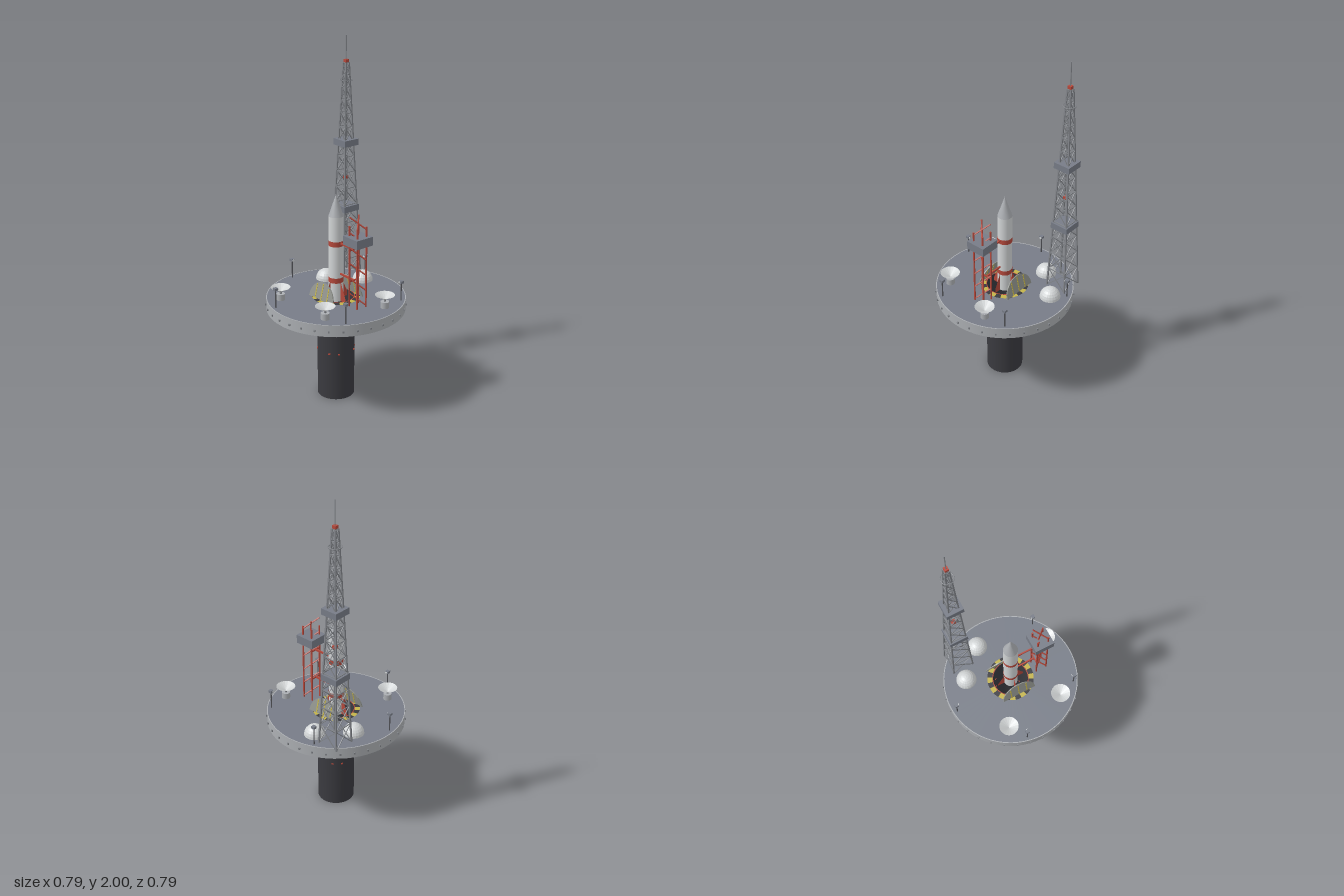
import * as THREE from 'three';
import { mergeGeometries } from 'three/addons/utils/BufferGeometryUtils.js';

const mat = (name, color, double) => {
  const m = new THREE.MeshStandardMaterial({ color });
  m.name = name;
  if (double) m.side = THREE.DoubleSide;
  return m;
};
const V = (x, y, z) => new THREE.Vector3(x, y, z);

export function createModel() {
  const M = {
    slate: mat('slate deck', 0x777c87),
    rim: mat('light steel', 0xacafb3, true),
    dark: mat('charcoal', 0x3a3a3f, true),
    under: mat('underside grey', 0x55565b),
    door: mat('door grey', 0x92958f),
    red: mat('signal red', 0xb5483b, true),
    white: mat('rocket white', 0xd2d5d6, true),
    yellow: mat('hazard yellow', 0xc3b34a),
    lattice: mat('tower grey', 0x82858a),
  };
  const model = new THREE.Group();
  const DECK = 0.6;

  const add = (name, geo, m, x = 0, y = 0, z = 0, parent = model) => {
    const mesh = new THREE.Mesh(geo, m);
    mesh.name = name;
    mesh.position.set(x, y, z);
    parent.add(mesh);
    return mesh;
  };
  const box = (w, h, d, x = 0, y = 0, z = 0) => new THREE.BoxGeometry(w, h, d).translate(x, y, z);
  const faceted = (geo) => {
    const g = geo.toNonIndexed();
    g.computeVertexNormals();
    return g;
  };
  // square bar between two points
  const bar = (a, b, t) => {
    const d = b.clone().sub(a), g = new THREE.BoxGeometry(t, d.length(), t);
    g.applyQuaternion(new THREE.Quaternion().setFromUnitVectors(V(0, 1, 0), d.normalize()));
    return g.translate((a.x + b.x) / 2, (a.y + b.y) / 2, (a.z + b.z) / 2);
  };
  const ring = (inner, outer, y, up, start = 0, len = Math.PI * 2, seg = 64) =>
    new THREE.RingGeometry(inner, outer, seg, 1, start, len).rotateX(up ? -Math.PI / 2 : Math.PI / 2).translate(0, y, 0);

  // Silo tube, open at both ends, with warning lights in pairs
  add('siloTube', new THREE.CylinderGeometry(0.105, 0.105, DECK, 48, 1, true), M.dark, 0, DECK / 2, 0);
  const siloLights = [];
  for (const y of [0.285, 0.43])
    for (let q = 0; q < 4; q++)
      for (const off of [-0.26, 0.26])
        siloLights.push(box(0.012, 0.007, 0.008, 0, y, 0.105).rotateY(Math.PI / 4 + q * Math.PI / 2 + off));
  add('siloLights', mergeGeometries(siloLights), M.red);

  // Round deck with hanging rim skirt
  add('deckTop', ring(0.105, 0.388, DECK, true), M.slate);
  add('deckUnderside', ring(0.105, 0.388, DECK - 0.01, false), M.under);
  add('deckRim', new THREE.CylinderGeometry(0.39, 0.39, 0.067, 64, 1, true), M.rim, 0, 0.5685, 0);
  add('rimLip', ring(0.386, 0.391, 0.602, true), M.rim);
  const studs = [];
  for (let i = 0; i < 32; i++)
    studs.push(box(0.009, 0.011, 0.01, 0, 0.565, 0.392).rotateY(i * Math.PI / 16));
  add('rimStuds', mergeGeometries(studs), M.lattice);

  // Hazard ring and red lip around the opening
  const sectors = [[], []], n = 24;
  for (let i = 0; i < n; i++)
    sectors[i % 2].push(ring(0.105, 0.135, DECK + 0.003, true, i * 2 * Math.PI / n, 2 * Math.PI / n, 3));
  add('hazardYellow', mergeGeometries(sectors[0]), M.yellow);
  add('hazardBlack', mergeGeometries(sectors[1]), M.dark);
  add('siloLip', ring(0.101, 0.106, DECK + 0.004, true), M.red);

  // Opened silo doors, leaning inwards, with yellow stripes
  for (const s of [-1, 1]) {
    const door = new THREE.Group();
    door.name = s > 0 ? 'leftDoor' : 'rightDoor';
    const half = new THREE.Shape();
    half.absarc(0, 0, 0.104, 0, Math.PI, false);
    const slab = new THREE.ExtrudeGeometry(half, { depth: 0.006, bevelEnabled: false, curveSegments: 5 });
    add('doorPanel', slab.translate(0, 0, -0.003).rotateY(Math.PI / 2), M.door, 0, 0, 0, door);
    const stripes = [-0.05, 0, 0.05].map((z) => box(0.009, z ? 0.084 : 0.097, 0.007, 0, z ? 0.042 : 0.0485, z));
    add('doorStripes', mergeGeometries(stripes), M.yellow, 0, 0, 0, door);
    door.position.set(s * 0.107, DECK, 0);
    door.rotation.z = s * 0.23;
    model.add(door);
  }

  // Rocket
  const rocket = new THREE.Group();
  rocket.name = 'rocket';
  model.add(rocket);
  const R = 0.041;
  add('rocketBody', new THREE.CylinderGeometry(R, R, 0.495, 24), M.white, 0, 0.8275, 0, rocket);
  add('noseCone', new THREE.ConeGeometry(R, 0.125, 24, 1, true), M.rim, 0, 1.1375, 0, rocket);
  for (const y of [0.92, 0.705])
    add('redBand', new THREE.CylinderGeometry(R + 0.001, R + 0.001, 0.03, 24, 1, true), M.red, 0, y, 0, rocket);
  const finShape = new THREE.Shape([[0.038, 0.715], [0.046, 0.685], [0.082, 0.605], [0.082, 0.58], [0.038, 0.58]]
    .map(([x, y]) => new THREE.Vector2(x, y)));
  for (let i = 0; i < 4; i++)
    add('fin', new THREE.ShapeGeometry(finShape).rotateY(i * Math.PI / 2), M.red, 0, 0, 0, rocket);

  // Red service gantry in front of the rocket
  const gantry = new THREE.Group();
  gantry.name = 'serviceGantry';
  gantry.position.set(0, 0, 0.185);
  model.add(gantry);
  const h = 0.032, bars = [];
  for (const sx of [-1, 1]) {
    for (const sz of [-1, 1]) bars.push(bar(V(sx * h, DECK, sz * h), V(sx * h, 1.065, sz * h), 0.007));
    for (let i = 0; i < 6; i++) {
      const y = 0.61 + i * 0.088;
      bars.push(bar(V(-sx * h, y, h), V(sx * h, y + 0.065, -h), 0.006));
    }
  }
  for (const y of [0.745, 0.925]) {
    bars.push(box(0.008, 0.01, 0.115, 0, y, -0.0875));
    bars.push(box(2 * h, 0.008, 0.006, 0, y, -h));
  }
  add('gantryFrame', mergeGeometries(bars), M.red, 0, 0, 0, gantry);
  add('gantryPlatform', box(0.114, 0.05, 0.114), M.slate, 0, 0.985, 0, gantry);

  // Tall lattice tower
  const tower = new THREE.Group();
  tower.name = 'latticeTower';
  tower.position.set(0.247, 0, -0.213);
  model.add(tower);
  const TOP = 1.85, half = (y) => 0.062 - 0.051 * (y - DECK) / (TOP - DECK);
  const levels = [DECK];
  for (let i = 0, step = 0.118; i < 14; i++, step *= 0.956) levels.push(levels[i] + step);
  const scale = (TOP - DECK) / (levels[14] - DECK);
  const ys = levels.map((y) => DECK + (y - DECK) * scale);
  const side = [bar(V(half(DECK), DECK, half(DECK)), V(half(TOP), TOP, half(TOP)), 0.008)];
  for (let i = 0; i < 14; i++) {
    const a = half(ys[i]), b = half(ys[i + 1]);
    side.push(bar(V(-a, ys[i], a), V(b, ys[i + 1], b), 0.004));
    side.push(bar(V(a, ys[i], a), V(-b, ys[i + 1], b), 0.004));
    side.push(bar(V(-b, ys[i + 1], b), V(b, ys[i + 1], b), 0.004));
  }
  const face = mergeGeometries(side);
  for (let k = 0; k < 4; k++) add('towerSide', face.clone().rotateY(k * Math.PI / 2), M.lattice, 0, 0, 0, tower);
  add('lowerPlatform', box(0.108, 0.036, 0.108), M.slate, 0, 1.017, 0, tower);
  add('upperPlatform', box(0.1, 0.036, 0.1), M.slate, 0, 1.403, 0, tower);
  add('topRing', new THREE.TorusGeometry(0.034, 0.0025, 6, 24).rotateX(Math.PI / 2), M.lattice, 0, 1.755, 0, tower);
  add('ringSpokes', mergeGeometries([box(0.068, 0.002, 0.002), box(0.002, 0.002, 0.068)]), M.lattice, 0, 1.755, 0, tower);
  add('topBeacon', box(0.022, 0.02, 0.022), M.red, 0, 1.858, 0, tower);
  add('middleBeacon', box(0.022, 0.016, 0.022), M.red, 0, 1.195, 0, tower);
  add('antennaMast', new THREE.CylinderGeometry(0.003, 0.003, 0.135, 6), M.lattice, 0, 1.9325, 0, tower);

  // Faceted storage domes
  const domeGeo = faceted(new THREE.SphereGeometry(0.059, 20, 6, 0, Math.PI * 2, 0, Math.PI / 2));
  for (const [x, z] of [[0.115, -0.23], [0.265, -0.08]]) add('storageDome', domeGeo, M.white, x, DECK, z);

  // Upturned conical dish antennas on drums
  const dishGeo = faceted(new THREE.ConeGeometry(0.055, 0.03, 18, 1, true).rotateX(Math.PI));
  for (const [x, z] of [[-0.269, -0.155], [-0.237, 0.198], [0.106, 0.29]]) {
    add('dishDrum', new THREE.CylinderGeometry(0.024, 0.024, 0.036, 16), M.rim, x, DECK + 0.018, z);
    add('dishStem', new THREE.CylinderGeometry(0.006, 0.006, 0.01, 8), M.lattice, x, DECK + 0.04, z);
    add('dish', dishGeo, M.white, x, DECK + 0.06, z);
  }

  // Floodlight poles around the edge, lamps turned to the centre
  for (let i = 0; i < 5; i++) {
    const light = new THREE.Group();
    light.name = 'floodlight';
    const a = Math.PI + 0.083 + i * 2 * Math.PI / 5, sx = Math.sin(a), cz = Math.cos(a);
    add('pole', new THREE.CylinderGeometry(0.0035, 0.0035, 0.11, 6), M.under, 0, 0.055, 0, light);
    add('lampHousing', box(0.021, 0.014, 0.021), M.slate, 0, 0.11, 0, light);
    add('lampGlass', box(0.011, 0.009, 0.011), M.white, -0.009 * sx, 0.109, -0.009 * cz, light);
    light.position.set(0.365 * sx, DECK, 0.365 * cz);
    model.add(light);
  }
  return model;
}
